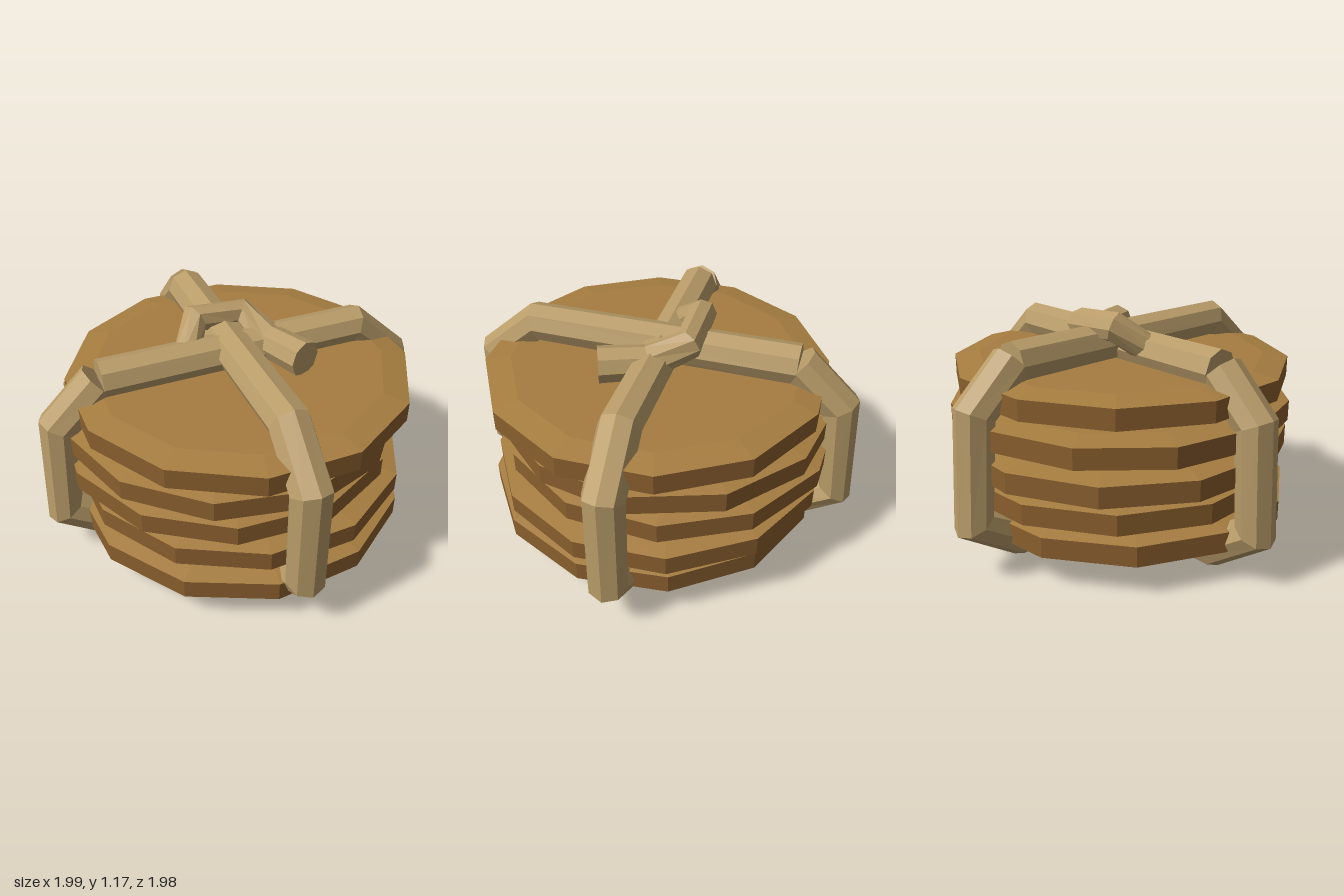
import * as THREE from 'three';

const V = (x, y, z) => new THREE.Vector3(x, y, z);

// Faceted shading: every face gets its own normal
function facet(geo) {
  const g = geo.index ? geo.toNonIndexed() : geo;
  g.computeVertexNormals();
  return g;
}

// Eight-sided rope swept along a list of points, with capped ends
function ropeGeometry(path, radii, ref) {
  const N = 8;
  const rings = path.map((p, i) => {
    const t = V(0, 0, 0);
    if (i > 0) t.add(p.clone().sub(path[i - 1]).normalize());
    if (i < path.length - 1) t.add(path[i + 1].clone().sub(p).normalize());
    t.normalize();
    const u = ref.clone().cross(t).normalize();
    const v = t.clone().cross(u);
    return Array.from({ length: N }, (_, j) => {
      const a = (j / N) * Math.PI * 2;
      return p.clone()
        .addScaledVector(u, Math.cos(a) * radii[i])
        .addScaledVector(v, Math.sin(a) * radii[i]);
    });
  });
  const pts = [];
  const last = rings.length - 1;
  for (let j = 0; j < N; j++) {
    const k = (j + 1) % N;
    for (let i = 0; i < last; i++) {
      const a = rings[i][j], b = rings[i][k], c = rings[i + 1][k], d = rings[i + 1][j];
      pts.push(a, b, c, a, c, d);
    }
    pts.push(path[0], rings[0][k], rings[0][j]);
    pts.push(path[last], rings[last][j], rings[last][k]);
  }
  return facet(new THREE.BufferGeometry().setFromPoints(pts));
}

export function createModel() {
  const model = new THREE.Group();
  model.name = 'tiedBiscuitStack';

  const material = (name, color) => {
    const m = new THREE.MeshStandardMaterial({ color });
    m.name = name;
    return m;
  };
  const crust = material('brown crust', 0x8a5f2e);
  const face = material('golden top', 0xa67d40);
  const twine = material('tan rope', 0xb99c69);

  const add = (parent, name, geo, mat) => {
    const mesh = new THREE.Mesh(geo, mat);
    mesh.name = name;
    parent.add(mesh);
    return mesh;
  };

  // Five twelve-sided biscuits, each shifted and turned a little: x, z, turn
  const R = 0.845, INNER = 0.72;
  const layers = [
    [0.015, 0.045, 21],
    [0.035, 0.005, 18],
    [-0.02, -0.03, 12],
    [-0.012, -0.012, 4],
    [0.027, 0.03, 16],
  ];
  const lathe = (profile, turn) => facet(new THREE.LatheGeometry(
    profile.map(([r, y]) => new THREE.Vector2(r, y)), 12, THREE.MathUtils.degToRad(turn)));
  layers.forEach(([x, z, turn], i) => {
    const biscuit = new THREE.Group();
    biscuit.name = 'biscuit' + (i + 1);
    biscuit.position.set(x, 0.13 + i * 0.16, z);
    add(biscuit, 'crust', lathe([[0, 0], [INNER, 0], [R, 0.03], [R, 0.13]], turn), crust);
    add(biscuit, 'top', lathe([[R, 0.13], [INNER, 0.152], [0, 0.152]], turn), face);
    model.add(biscuit);
  });

  // Two crossing rope loops whose ends meet at a top corner
  const sideLoop = [
    [-0.66, 0.97], [0.66, 0.98], [0.895, 0.77], [0.905, 0.26], [0.665, 0.1],
    [-0.665, 0.1], [-0.905, 0.26], [-0.875, 0.77], [-0.665, 0.97],
  ];
  const frontLoop = [
    [-0.66, 0.995], [0.66, 1.0], [0.893, 0.8], [0.9, 0.285], [0.665, 0.14],
    [-0.665, 0.14], [-0.905, 0.285], [-0.87, 0.8], [-0.655, 1.0],
  ];
  const loopRadii = sideLoop.map(() => 0.1);
  add(model, 'sideToSideRope',
    ropeGeometry(sideLoop.map(([x, y]) => V(x, y, 0)), loopRadii, V(0, 0, 1)), twine);
  add(model, 'frontToBackRope',
    ropeGeometry(frontLoop.map(([z, y]) => V(0, y, z)), loopRadii, V(1, 0, 0)), twine);

  // Knot: a slanted bight behind the crossing and a short tail in front
  const knot = [
    V(-0.23, 0.98, -0.01), V(-0.13, 1.1, -0.15), V(0.11, 1.08, -0.15),
    V(0.19, 1.0, 0.02), V(0.28, 1.0, 0.24),
  ];
  add(model, 'knot', ropeGeometry(knot, [0.07, 0.075, 0.075, 0.085, 0.09], V(0, 1, 0)), twine);

  return model;
}
